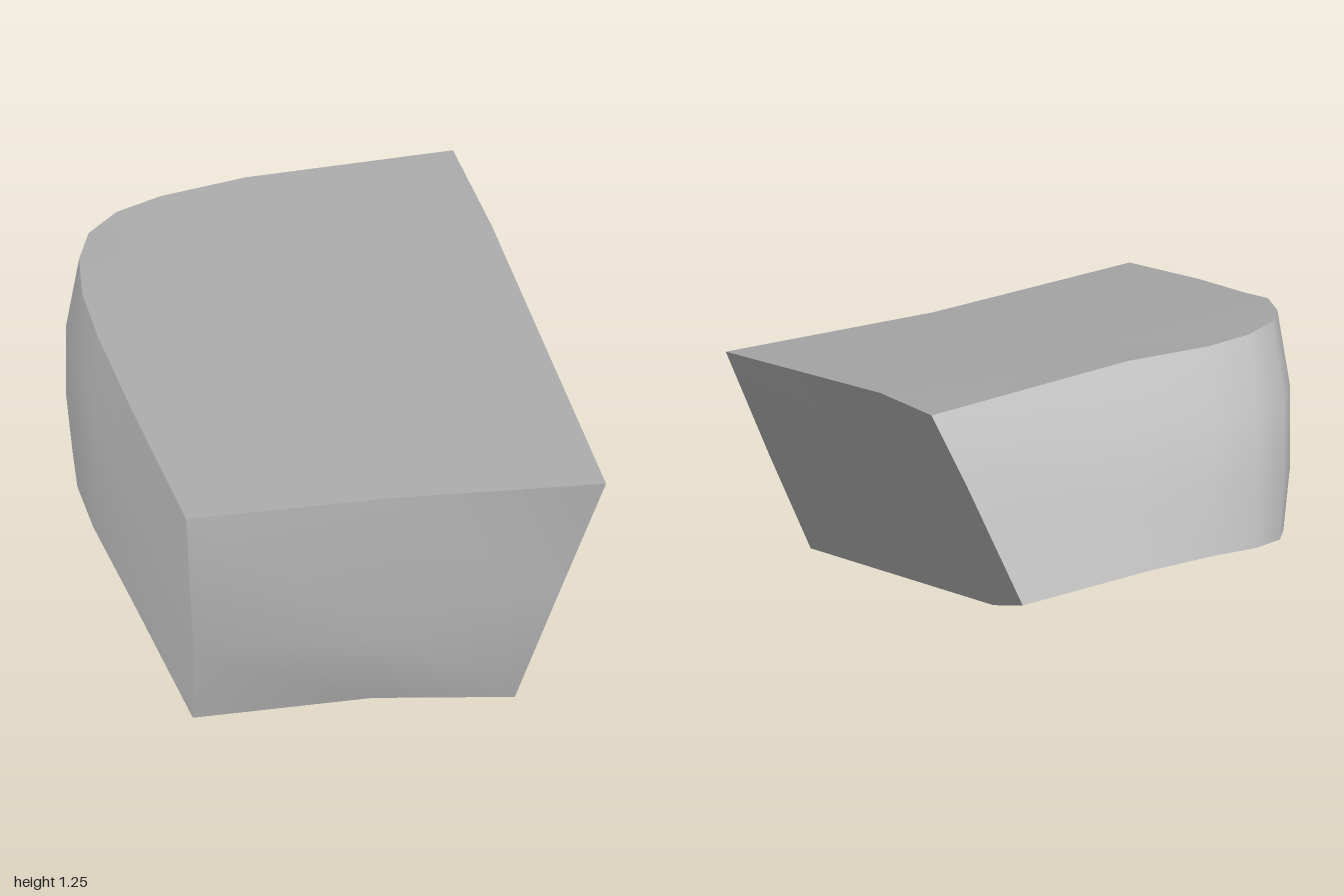
import * as THREE from 'three';

const lerp = (a, b, t) => a + (b - a) * t;

function makeMaterial(name, color) {
  const material = new THREE.MeshStandardMaterial({ color });
  material.name = name;
  return material;
}

// smooth surface from point triples and triangle indices
function makeMesh(name, points, index, material) {
  const g = new THREE.BufferGeometry();
  g.setAttribute('position', new THREE.Float32BufferAttribute(points.flat(), 3));
  g.setIndex(index);
  g.computeVertexNormals();
  const mesh = new THREE.Mesh(g, material);
  mesh.name = name;
  return mesh;
}

// columns run left to right seen from outside, points run bottom to top
function panel(name, columns, material) {
  const rows = columns[0].length, index = [];
  for (let i = 0; i < columns.length - 1; i++) {
    for (let j = 0; j < rows - 1; j++) {
      const a = i * rows + j, b = a + rows;
      index.push(a, b, a + 1, b, b + 1, a + 1);
    }
  }
  return makeMesh(name, columns.flat(), index, material);
}

// fan of triangles around a centre point
function cap(name, centre, loop, material) {
  const index = [];
  loop.forEach((_, i) => index.push(0, i + 1, ((i + 1) % loop.length) + 1));
  return makeMesh(name, [centre, ...loop], index, material);
}

export function createModel() {
  const group = new THREE.Group();
  group.name = 'slantedBlock';
  const grey = makeMaterial('grey', 0xa7a7a7);
  const paleGrey = makeMaterial('paleGrey', 0xd6d6d6);

  // front face: left, middle and right columns
  const front = [
    [[-0.877, 0.157, 0.9], [-0.877, 0.47, 0.908], [-0.868, 1.02, 0.8]],
    [[-0.15, 0.08, 0.91], [-0.1, 0.41, 1.0], [-0.04, 0.93, 0.82]],
    [[0.404, 0, 0.985], [0.603, 0.41, 0.937], [0.8, 0.86, 0.92]],
  ];

  // rounded wall stations from front left around to back right:
  // bottom point, outer plan position, top point
  const stations = [
    [[-0.875, 0.255, 0.2], [-0.877, 0.2], [-0.865, 1.12, 0.2]],
    [[-0.87, 0.3, -0.23], [-0.875, -0.23], [-0.85, 1.185, -0.23]],
    [[-0.85, 0.33, -0.46], [-0.86, -0.46], [-0.83, 1.23, -0.46]],
    [[-0.8, 0.355, -0.65], [-0.82, -0.67], [-0.77, 1.246, -0.66]],
    [[-0.7, 0.38, -0.82], [-0.71, -0.84], [-0.68, 1.252, -0.8]],
    [[-0.55, 0.395, -0.92], [-0.55, -0.94], [-0.53, 1.248, -0.9]],
    [[-0.33, 0.405, -0.97], [-0.33, -0.985], [-0.33, 1.241, -0.95]],
    [[-0.05, 0.39, -0.99], [0, -1], [0.02, 1.235, -0.963]],
  ];
  const wall = stations.map(([b, o, t]) => [
    b, ...[0.3, 0.65].map((k) => [o[0], lerp(b[1], t[1], k), o[1]]), t,
  ]);
  const [fb, fm, ft] = front[0];
  wall.unshift([fb, fm, fm.map((v, i) => lerp(v, ft[i], 0.5)), ft]);
  const backRight = [[0.49, 0.33, -1], [0.604, 0.573, -1], [0.737, 0.857, -1], [0.873, 1.14, -0.985]];
  wall.push(backRight);

  // right face
  const bend = [[0.465, 0.245, -0.7], [0.71, 0.77, -0.6], [0.86, 1.1, -0.52]];
  const right = [front[2], bend, [backRight[0], backRight[2], backRight[3]]];

  // rims shared by the top and underside
  const rim = (row, wallRow) => [
    front[0][row], front[1][row], front[2][row], bend[row],
    ...wall.slice(1).reverse().map((c) => c[wallRow]),
  ];

  group.add(
    panel('frontFace', front, grey),
    panel('roundedBackWall', [...wall].reverse(), paleGrey),
    panel('rightFace', right, grey),
    cap('topFace', [0, 1.155, -0.52], rim(2, 3), grey),
    cap('underside', [-0.15, 0.28, -0.5], rim(0, 0).reverse(), grey),
  );
  return group;
}
